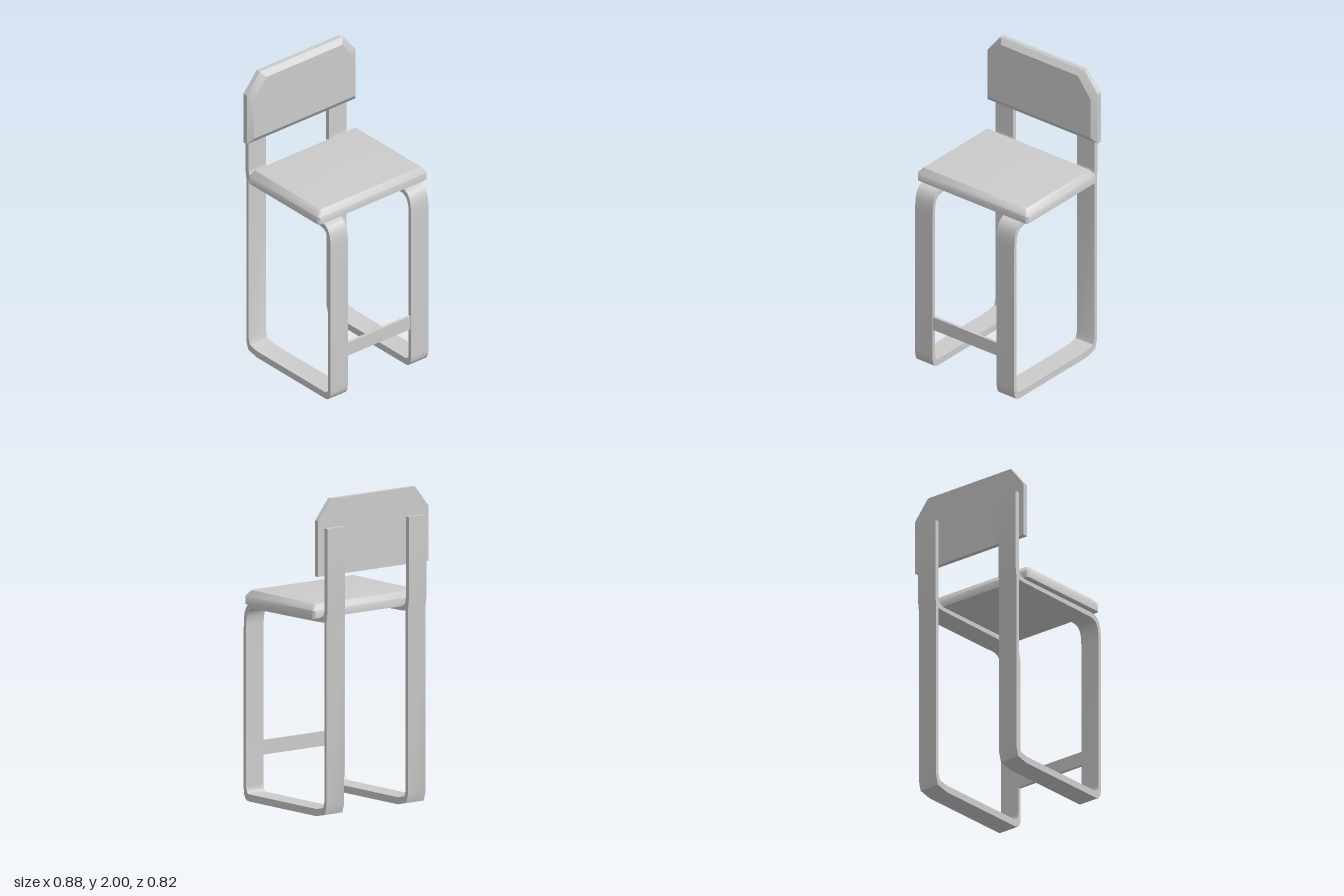
import * as THREE from 'three';
import { toCreasedNormals } from 'three/addons/utils/BufferGeometryUtils.js';

const material = new THREE.MeshStandardMaterial({ color: 0xcccccc });

function addMesh(group, name, geometry) {
  const mesh = new THREE.Mesh(geometry, material);
  mesh.name = name;
  group.add(mesh);
  return mesh;
}

// Skin over rings of equal point count; each end closes on a centre point.
// Rings run counter-clockwise when seen from the last ring's side.
function loft(rings, startCentre, endCentre, crease) {
  const n = rings[0].length;
  const positions = [...rings.flat(), startCentre, endCentre].flat();
  const index = [];
  const start = rings.length * n, end = start + 1, last = start - n;
  for (let i = 0; i < n; i++) {
    const j = (i + 1) % n;
    for (let r = 0; r < rings.length - 1; r++) {
      const a = r * n + i, b = r * n + j;
      index.push(a, b, b + n, a, b + n, a + n);
    }
    index.push(start, j, i, end, last + i, last + j);
  }
  const geometry = new THREE.BufferGeometry();
  geometry.setAttribute('position', new THREE.Float32BufferAttribute(positions, 3));
  geometry.setIndex(index);
  return toCreasedNormals(geometry, crease);
}

// Rectangle with clipped corners, lying flat at height y
function seatRing(x, back, front, clip, y) {
  return [
    [x - clip, y, front], [x, y, front - clip], [x, y, back + clip], [x - clip, y, back],
    [-x + clip, y, back], [-x, y, back + clip], [-x, y, front - clip], [-x + clip, y, front],
  ];
}

// Upright panel outline with large clipped top corners
function backRing(x, bottom, shoulder, topX, top, z) {
  return [
    [-x, bottom, z], [x, bottom, z], [x, shoulder, z],
    [topX, top, z], [-topX, top, z], [-x, shoulder, z],
  ];
}

// Bent strip in side profile (z, y): leg loop with the back upright rising from it
function frameGeometry(width) {
  const s = new THREE.Shape();
  s.moveTo(0.36, 0);
  s.quadraticCurveTo(0.41, 0, 0.41, 0.08);
  s.lineTo(0.41, 1.08);
  s.bezierCurveTo(0.41, 1.2, 0.39, 1.25, 0.31, 1.25);
  s.lineTo(-0.33, 1.255);
  s.quadraticCurveTo(-0.378, 1.255, -0.378, 1.31);
  s.lineTo(-0.378, 1.82);
  s.lineTo(-0.408, 1.82);
  s.lineTo(-0.408, 1.3);
  s.lineTo(-0.4, 1.24);
  s.lineTo(-0.4, 0.08);
  s.lineTo(-0.383, 0.02);
  s.lineTo(-0.3, 0);

  const hole = new THREE.Path();
  hole.moveTo(0.355, 0.045);
  hole.quadraticCurveTo(0.387, 0.045, 0.387, 0.1);
  hole.lineTo(0.387, 1.08);
  hole.bezierCurveTo(0.387, 1.18, 0.37, 1.217, 0.3, 1.217);
  hole.lineTo(-0.33, 1.224);
  hole.lineTo(-0.377, 1.228);
  hole.lineTo(-0.377, 0.1);
  hole.lineTo(-0.365, 0.06);
  hole.lineTo(-0.3, 0.045);
  s.holes.push(hole);

  const geometry = new THREE.ExtrudeGeometry(s, { depth: width, bevelEnabled: false, curveSegments: 8 });
  geometry.translate(0, 0, -width / 2);
  geometry.rotateY(-Math.PI / 2);
  return toCreasedNormals(geometry, 0.6);
}

export function createModel() {
  const group = new THREE.Group();
  group.name = 'barChair';

  // Side frames
  const frame = frameGeometry(0.14);
  addMesh(group, 'rightFrame', frame).position.x = -0.33;
  addMesh(group, 'leftFrame', frame).position.x = 0.32;

  // Footrest between the front legs
  const bar = addMesh(group, 'footrest', new THREE.BoxGeometry(0.53, 0.09, 0.02));
  bar.position.set(-0.005, 0.32, 0.397);

  // Seat cushion with bevelled rim and slightly domed top
  addMesh(group, 'seat', loft([
    seatRing(0.44, -0.335, 0.345, 0.012, 1.25),
    seatRing(0.44, -0.335, 0.345, 0.012, 1.3),
    seatRing(0.408, -0.309, 0.318, 0.008, 1.338),
  ], [0, 1.25, 0], [0, 1.372, 0], 0.7));

  // Backrest with bevelled front
  addMesh(group, 'backrest', loft([
    backRing(0.44, 1.52, 1.87, 0.335, 2, -0.378),
    backRing(0.44, 1.52, 1.87, 0.335, 2, -0.347),
    backRing(0.405, 1.56, 1.835, 0.305, 1.965, -0.318),
  ], [0, 1.75, -0.378], [0, 1.75, -0.318], 0.5));

  return group;
}
